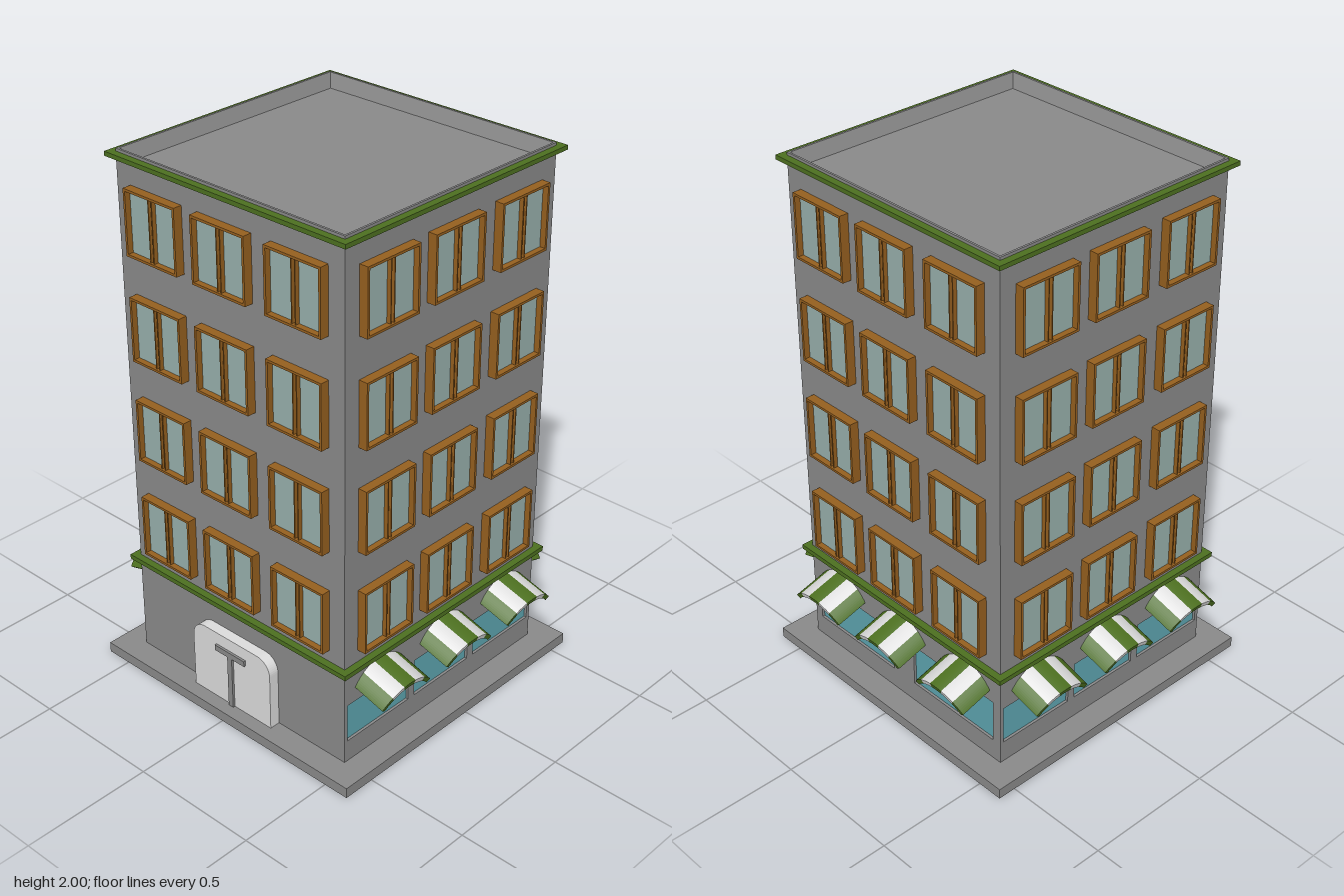
import * as THREE from 'three';

const W = 0.5035; // half width of the square tower
const paint = (name, color) => Object.assign(new THREE.MeshStandardMaterial({ color }), { name });
const mats = {
  wall: paint('grey wall', 0x8a8a8a),
  green: paint('green', 0x4d7020),
  white: paint('white', 0xdcdcdc),
  wood: paint('wood', 0x96601f),
  glass: paint('window glass', 0x98b0ac),
  shop: paint('shop glass', 0x5ea5b0),
};

function add(parent, name, geo, mat, x = 0, y = 0, z = 0) {
  const m = new THREE.Mesh(geo, mat);
  m.name = name;
  m.position.set(x, y, z);
  parent.add(m);
  return m;
}
const box = (w, h, d) => new THREE.BoxGeometry(w, h, d);

// Square "turned" solid from [half width, height] points
function squareLathe(points) {
  const pts = points.map(([r, y]) => new THREE.Vector2(r * Math.SQRT2, y));
  const g = new THREE.LatheGeometry(pts, 4, Math.PI / 4).toNonIndexed();
  g.computeVertexNormals();
  return g;
}

function rectPath(Type, x0, y0, x1, y1) {
  const p = new Type();
  p.moveTo(x0, y0);
  p.lineTo(x1, y0);
  p.lineTo(x1, y1);
  p.lineTo(x0, y1);
  p.closePath();
  return p;
}
const extrude = (shape, depth, curveSegments = 6) =>
  new THREE.ExtrudeGeometry(shape, { depth, bevelEnabled: false, curveSegments });

// Window: deep wooden frame, set-back glass, twin centre bars
const S = 0.12, T = 0.009, DEPTH = 0.035;
const frameShape = rectPath(THREE.Shape, -S, -S, S, S);
frameShape.holes.push(rectPath(THREE.Path, -S + T, -S + T, S - T, S - T));
const frameGeo = extrude(frameShape, DEPTH);
function makeWindow() {
  const g = new THREE.Group();
  g.name = 'window';
  add(g, 'windowFrame', frameGeo, mats.wood);
  add(g, 'windowGlass', box(2 * S - T, 2 * S - T, 0.008), mats.glass, 0, 0, 0.009);
  for (const s of [-1, 1])
    add(g, 'windowBar', box(0.004, 2 * S - T, 0.018), mats.wood, s * 0.008, 0, 0.02);
  return g;
}

// Awning: five arched stripes, tilted down and outwards
const R = 0.154, THICK = 0.018, HALF = 0.91;
const stripeGeos = Array.from({ length: 5 }, (_, i) => {
  const a0 = Math.PI / 2 + HALF - (i * 2 * HALF) / 5;
  const a1 = a0 - (2 * HALF) / 5;
  const s = new THREE.Shape();
  s.absarc(0, -R, R, a0, a1, true);
  s.absarc(0, -R, R - THICK, a1, a0, false);
  s.closePath();
  return extrude(s, 0.15, 4);
});
function makeAwning() {
  const g = new THREE.Group();
  g.name = 'awning';
  stripeGeos.forEach((geo, i) => add(g, 'awningStripe', geo, i % 2 ? mats.white : mats.green));
  g.rotation.x = 0.28;
  return g;
}

// One facade; local z points outwards
function makeSide(name, angle, shops, hasAwnings) {
  const g = new THREE.Group();
  g.name = name;
  g.rotation.y = angle;

  // Ground floor wall with set-back shop windows
  const wall = rectPath(THREE.Shape, -W, 0.04, W, 0.43);
  for (const [x0, x1, y0, y1] of shops) {
    wall.holes.push(rectPath(THREE.Path, x0, y0, x1, y1));
    add(g, 'shopWindow', box(x1 - x0, y1 - y0, 0.006), mats.shop,
      (x0 + x1) / 2, (y0 + y1) / 2, W - 0.013);
  }
  add(g, 'groundFloorWall', extrude(wall, 0.015), mats.wall, 0, 0, W - 0.015);

  // Four floors of three windows
  for (let floor = 0; floor < 4; floor++)
    for (const x of [-0.32, -0.008, 0.316]) {
      const w = makeWindow();
      w.position.set(x, 0.6 + 0.39 * floor, W - 0.001);
      g.add(w);
    }

  if (hasAwnings)
    for (const x of [-0.33, 0, 0.33]) {
      const a = makeAwning();
      a.position.set(x, 0.395, W - 0.005);
      g.add(a);
    }
  return g;
}

// Entrance: block with rounded top corners, centre post and lintel
function makeEntrance() {
  const g = new THREE.Group();
  g.name = 'entrance';
  const w = 0.19, top = 0.32, r = 0.06;
  const s = new THREE.Shape();
  s.moveTo(-w, 0.04);
  s.lineTo(w, 0.04);
  s.lineTo(w, top - r);
  s.absarc(w - r, top - r, r, 0, Math.PI / 2, false);
  s.absarc(-w + r, top - r, r, Math.PI / 2, Math.PI, false);
  s.closePath();
  add(g, 'doorBlock', extrude(s, 0.042), mats.white, 0, 0, W - 0.001);
  add(g, 'doorPost', box(0.022, 0.21, 0.014), mats.wall, 0, 0.145, W + 0.043);
  add(g, 'doorLintel', box(0.145, 0.022, 0.014), mats.wall, 0, 0.261, W + 0.043);
  g.rotation.y = -Math.PI / 2;
  return g;
}

export function createModel() {
  const model = new THREE.Group();
  model.name = 'building';
  const b = new THREE.Group();
  b.name = 'tower';
  b.position.x = -0.0275;
  model.add(b);

  add(b, 'base', box(1.195, 0.04, 1.2), mats.wall, 0, 0.02, 0);
  add(b, 'groundFloorCore', box(2 * W - 0.03, 0.39, 2 * W - 0.03), mats.wall, 0, 0.235, 0);

  // Upper floors with sloped parapet and sunken roof
  add(b, 'upperFloors', squareLathe([
    [W, 0.42], [W, 2], [W - 0.008, 2], [0.475, 1.95], [0.0001, 1.95],
  ]), mats.wall);

  // Green ledges
  for (const [name, y0, y1] of [['lowerLedge', 0.415, 0.433], ['roofLedge', 1.974, 1.99]])
    add(b, name, squareLathe([[W - 0.005, y0], [0.53, y0], [0.53, y1], [W - 0.005, y1]]), mats.green);

  const three = [[-0.5, -0.178, 0.125, 0.275], [-0.147, 0.143, 0.125, 0.275], [0.175, 0.498, 0.125, 0.275]];
  const two = [[-0.47, -0.055, 0.12, 0.288], [0.055, 0.467, 0.12, 0.288]];
  b.add(
    makeSide('frontSide', 0, three, true),
    makeSide('leftSide', Math.PI / 2, two, true),
    makeSide('backSide', Math.PI, three, true),
    makeSide('rightSide', -Math.PI / 2, [], false),
    makeEntrance(),
  );
  return model;
}
